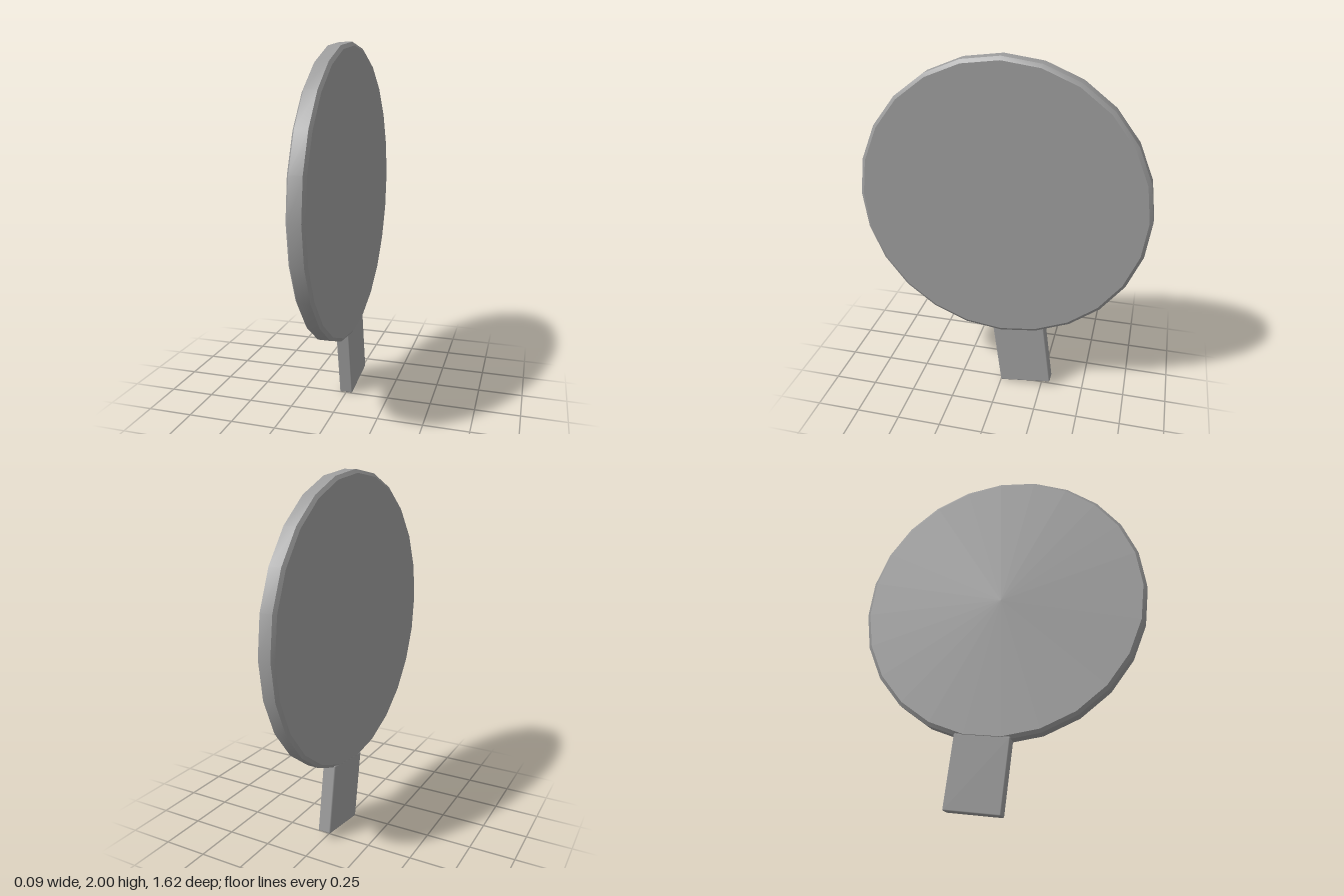
import * as THREE from 'three';
import { toCreasedNormals } from 'three/addons/utils/BufferGeometryUtils.js';
import { RoundedBoxGeometry } from 'three/addons/geometries/RoundedBoxGeometry.js';

export function createModel() {
  const model = new THREE.Group();
  const material = new THREE.MeshStandardMaterial({ color: 0x9d9d9d });
  const hubY = 1.19, radius = 0.81, half = 0.047;

  // Upright 24-sided disc with chamfered rims, its axis along x
  const profile = [
    [0, -half], [radius - 0.019, -half], [radius, -half + 0.013],
    [radius, half - 0.013], [radius - 0.019, half], [0, half],
  ].map(([r, h]) => new THREE.Vector2(r, h));
  const discGeometry = toCreasedNormals(new THREE.LatheGeometry(profile, 24), 0.4);
  discGeometry.rotateZ(Math.PI / 2);
  const disc = new THREE.Mesh(discGeometry, material);
  disc.name = 'disc';
  disc.position.y = hubY;
  model.add(disc);

  // Short handle, square to one flat of the rim, sunk slightly into it and leaning a touch sideways
  const inner = 0.78, outer = 1.18;
  const handlePivot = new THREE.Group();
  handlePivot.name = 'handlePivot';
  handlePivot.position.y = hubY;
  handlePivot.rotation.x = Math.PI / 24;
  const handle = new THREE.Mesh(
    new RoundedBoxGeometry(0.076, outer - inner, 0.308, 1, 0.007), material);
  handle.name = 'handle';
  handle.position.set(-0.004, -(inner + outer) / 2, 0);
  handle.rotation.z = 0.02;
  handlePivot.add(handle);
  model.add(handlePivot);

  return model;
}
